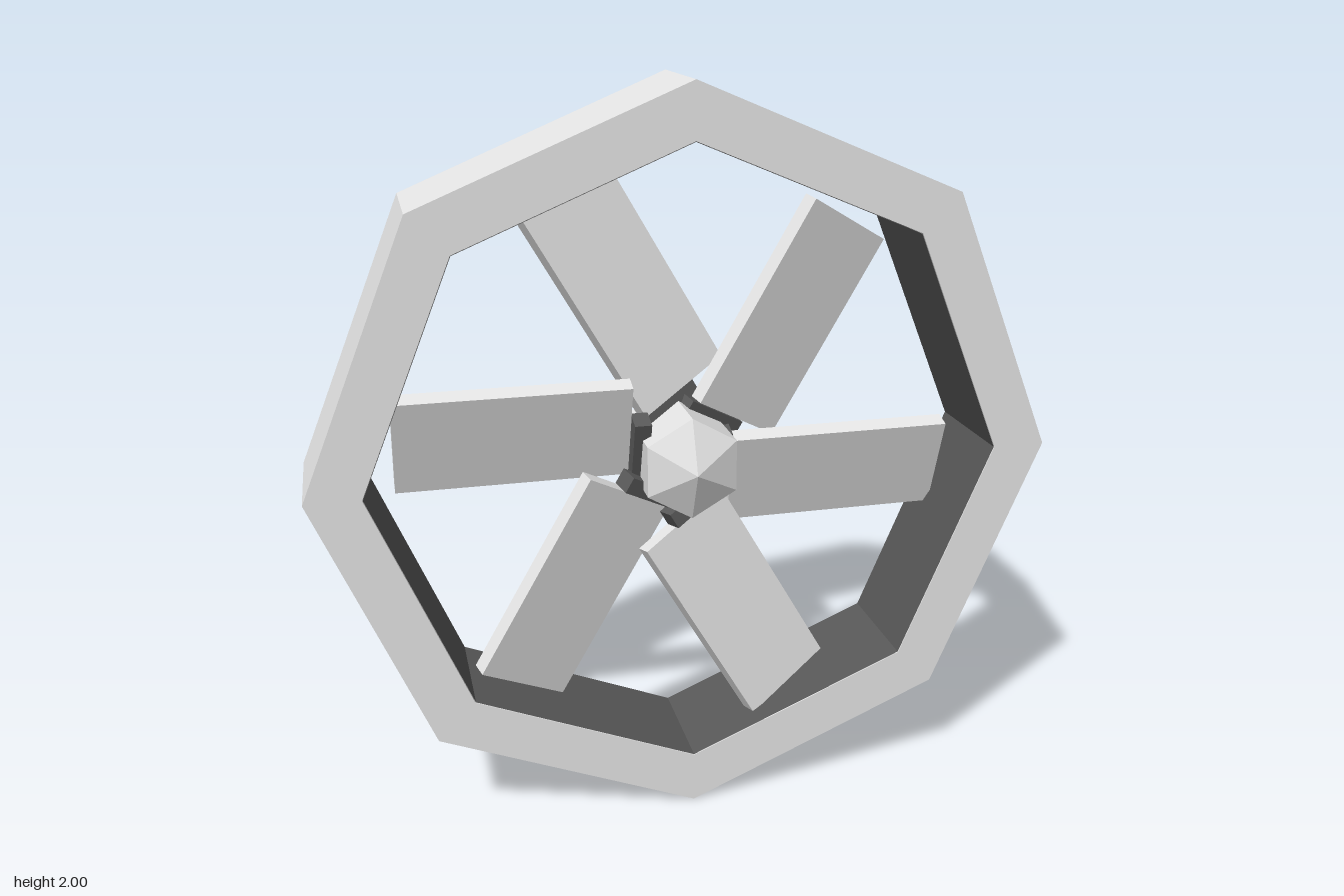
import * as THREE from 'three';

const paint = new THREE.MeshStandardMaterial({ color: 0xe5e5e5 });
paint.name = 'light grey';
const dark = new THREE.MeshStandardMaterial({ color: 0x595959 });
dark.name = 'dark grey';
const lining = dark.clone();
lining.name = 'dark grey lining';
lining.side = THREE.DoubleSide;

function add(parent, name, geometry, material, x = 0, y = 0, z = 0) {
  const mesh = new THREE.Mesh(geometry, material);
  mesh.name = name;
  mesh.position.set(x, y, z);
  parent.add(mesh);
  return mesh;
}

// points of a regular octagon with a corner pointing up
function octagon(radius) {
  return Array.from({ length: 8 }, (_, i) => new THREE.Vector2(
    radius * Math.cos(i * Math.PI / 4), radius * Math.sin(i * Math.PI / 4)));
}

// turns a cylinder-like geometry to lie along z, with flat facets
function facetedAlongZ(geometry) {
  const g = geometry.rotateX(Math.PI / 2).toNonIndexed();
  g.computeVertexNormals();
  return g;
}

export function createModel() {
  const model = new THREE.Group();
  model.name = 'fan';
  const fan = new THREE.Group();
  fan.name = 'fanAssembly';
  fan.position.y = 1;
  model.add(fan);

  // octagonal duct with a dark inner wall
  const ring = new THREE.Shape(octagon(1));
  ring.holes.push(new THREE.Path(octagon(0.855)));
  add(fan, 'outerRing',
    new THREE.ExtrudeGeometry(ring, { depth: 0.327, bevelEnabled: false }), paint, 0, 0, -0.18);
  add(fan, 'ringLining',
    facetedAlongZ(new THREE.CylinderGeometry(0.853, 0.853, 0.326, 8, 1, true)), lining, 0, 0, -0.0165);

  // hub with a pointed nose
  add(fan, 'hub', facetedAlongZ(new THREE.CylinderGeometry(0.14, 0.14, 0.29, 6)), paint, 0, 0, -0.025);
  add(fan, 'hubNose',
    facetedAlongZ(new THREE.ConeGeometry(0.14, 0.06, 6, 1, true)), paint, 0, 0, 0.15);

  // pitched blades: the first three sit further back, the others tilt the opposite way
  for (let i = 0; i < 6; i++) {
    const rear = i < 3;
    const arm = new THREE.Group();
    arm.name = 'bladeArm' + (i + 1);
    arm.position.z = rear ? -0.06 : 0.02;
    arm.rotation.z = i * Math.PI / 3;
    fan.add(arm);
    const pitch = rear ? 0.32 : -0.32;
    add(arm, 'blade', new THREE.BoxGeometry(0.62, 0.28, 0.048), paint, 0.46, -0.097, 0)
      .rotation.x = pitch;
    add(arm, 'bladeBracket', new THREE.BoxGeometry(0.046, 0.19, 0.06), dark, 0.122, -0.035, 0)
      .rotation.x = pitch;
  }
  return model;
}
